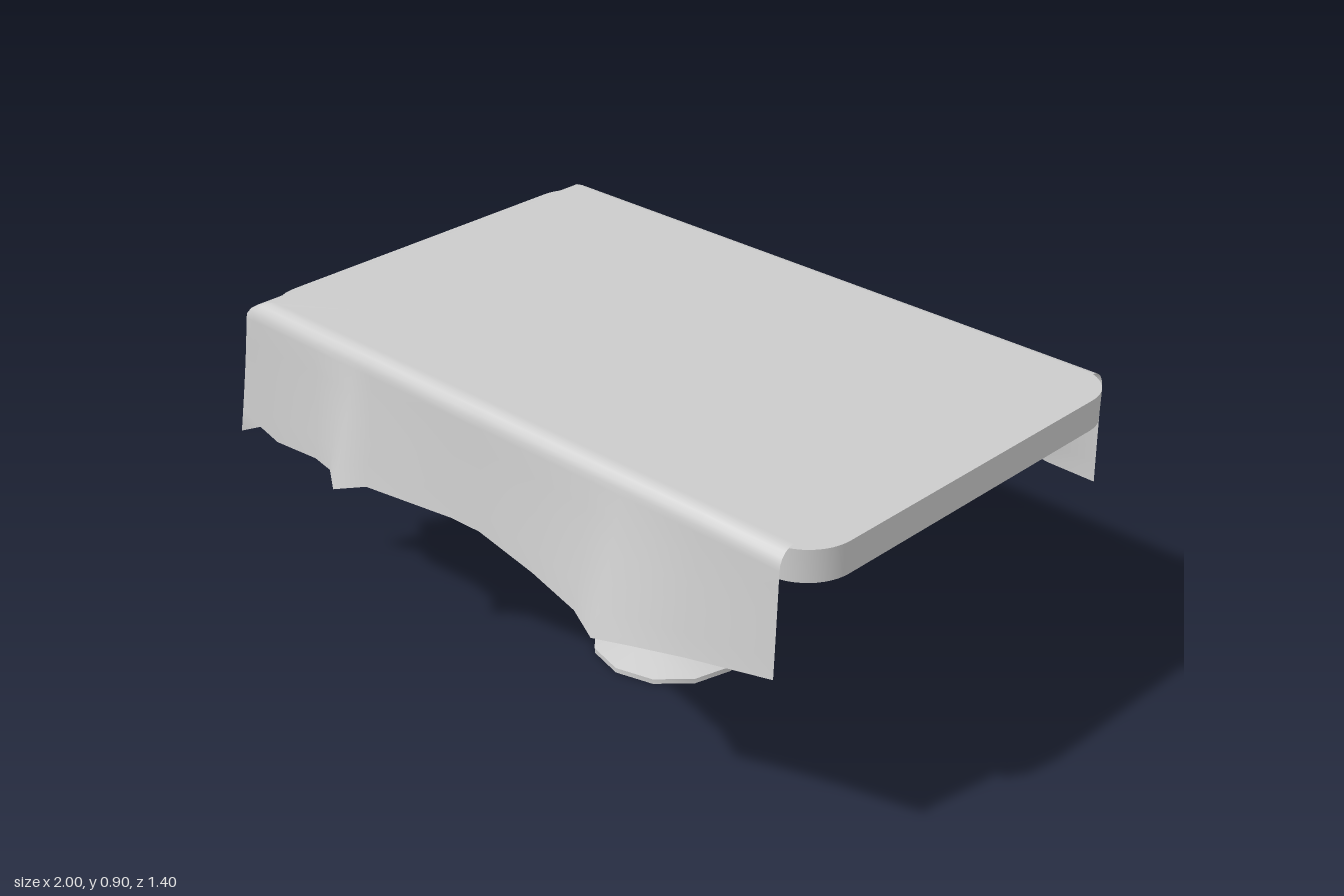
import * as THREE from 'three';
import { toCreasedNormals } from 'three/addons/utils/BufferGeometryUtils.js';

const clamp = THREE.MathUtils.clamp;
const lerp = THREE.MathUtils.lerp;

// Hem of the cloth as [x, y, z], running along the front, the left-hand end and the back
const HEM = [
  [0.93, 0.58, 0.61], [0.7, 0.55, 0.645], [0.56, 0.532, 0.675], [0.46, 0.52, 0.70],
  [0.36, 0.53, 0.655], [0.2, 0.555, 0.635], [0, 0.58, 0.62], [-0.1, 0.578, 0.62],
  [-0.4, 0.557, 0.64], [-0.47, 0.543, 0.69], [-0.53, 0.56, 0.65], [-0.62, 0.55, 0.625],
  [-0.8, 0.525, 0.61], [-0.87, 0.545, 0.61], [-0.957, 0.502, 0.61], [-0.92, 0.56, 0.57],
  [-0.99, 0.565, 0.515], [-0.955, 0.565, 0.45], [-1, 0.56, 0.25], [-0.955, 0.58, 0.05],
  [-0.905, 0.575, -0.1], [-0.9, 0.54, -0.21], [-0.9, 0.535, -0.36], [-0.91, 0.53, -0.45],
  [-0.96, 0.53, -0.5], [-0.915, 0.54, -0.535], [-0.95, 0.525, -0.59], [-0.87, 0.53, -0.615],
  [-0.7, 0.545, -0.615], [-0.6, 0.55, -0.645], [-0.5, 0.545, -0.69], [-0.4, 0.56, -0.64],
  [-0.2, 0.58, -0.62], [0.05, 0.58, -0.62], [0.36, 0.565, -0.65], [0.46, 0.557, -0.70],
  [0.78, 0.57, -0.63], [0.93, 0.58, -0.61],
];

// Cloth: flat top, rolled edge, then a skirt spreading out to the hem; open at the right end
function clothGeometry() {
  const n = HEM.length, rollSteps = 5, dropSteps = 5;
  const pos = [], index = [];
  const rows = [];
  for (let j = 0; j <= rollSteps; j++) rows.push({ a: (j / rollSteps) * Math.PI / 2, t: 0 });
  for (let j = 1; j <= dropSteps; j++) rows.push({ a: Math.PI / 2, t: j / dropSteps });
  for (const { a, t } of rows) {
    for (const [hx, hy, hz] of HEM) {
      const rimX = clamp(hx, -0.9, 0.93), rimZ = clamp(hz, -0.6, 0.6);
      const inX = clamp(rimX, -0.83, 0.93), inZ = clamp(rimZ, -0.555, 0.555);
      const flare = Math.pow(t, 1.15);
      pos.push(
        lerp(lerp(inX, rimX, Math.sin(a)), hx, flare),
        lerp(0.85 + 0.05 * Math.cos(a), hy, t),
        lerp(lerp(inZ, rimZ, Math.sin(a)), hz, flare));
    }
  }
  for (let j = 0; j < rows.length - 1; j++) {
    for (let i = 0; i < n - 1; i++) {
      const a = j * n + i, b = a + 1, c = a + n, d = c + 1;
      index.push(a, b, c, b, d, c);
    }
  }
  const centre = pos.length / 3;
  pos.push(0.05, 0.9, 0);
  for (let i = 0; i < n; i++) index.push(centre, (i + 1) % n, i);
  const g = new THREE.BufferGeometry();
  g.setAttribute('position', new THREE.Float32BufferAttribute(pos, 3));
  g.setIndex(index);
  g.computeVertexNormals();
  return g;
}

// Rounded slab
function topGeometry(x0, x1, hz, r, y, h) {
  const s = new THREE.Shape();
  s.moveTo(x0 + r, -hz);
  s.lineTo(x1 - r, -hz);
  s.absarc(x1 - r, -hz + r, r, -Math.PI / 2, 0);
  s.absarc(x1 - r, hz - r, r, 0, Math.PI / 2);
  s.absarc(x0 + r, hz - r, r, Math.PI / 2, Math.PI);
  s.absarc(x0 + r, -hz + r, r, Math.PI, Math.PI * 1.5);
  const g = new THREE.ExtrudeGeometry(s, { depth: h, bevelEnabled: false, curveSegments: 6 });
  g.rotateX(-Math.PI / 2).translate(0, y, 0);
  return toCreasedNormals(g, 0.6);
}

// Pedestal: hollow foot, tapered column and flared head
function pedestalGeometry() {
  const profile = [
    [0, 0.05], [0.05, 0.05], [0.055, 0.006], [0.214, 0], [0.214, 0.014], [0.14, 0.038],
    [0.062, 0.06], [0.061, 0.065], [0.046, 0.75], [0.055, 0.775], [0.098, 0.802], [0.098, 0.815],
  ].map(([x, y]) => new THREE.Vector2(x, y));
  return toCreasedNormals(new THREE.LatheGeometry(profile, 12), 0.6);
}

export function createModel() {
  const group = new THREE.Group();
  group.name = 'clothedTable';
  const grey = new THREE.MeshStandardMaterial({ color: 0xcccccc });
  const fabric = new THREE.MeshStandardMaterial({ color: 0xcccccc, side: THREE.DoubleSide });
  const add = (name, geometry, material) => {
    const m = new THREE.Mesh(geometry, material);
    m.name = name;
    group.add(m);
    return m;
  };
  add('tabletop', topGeometry(-0.88, 1, 0.577, 0.125, 0.81, 0.082), grey);
  add('pedestal', pedestalGeometry(), grey).position.x = 0.055;
  add('tablecloth', clothGeometry(), fabric);
  return group;
}
